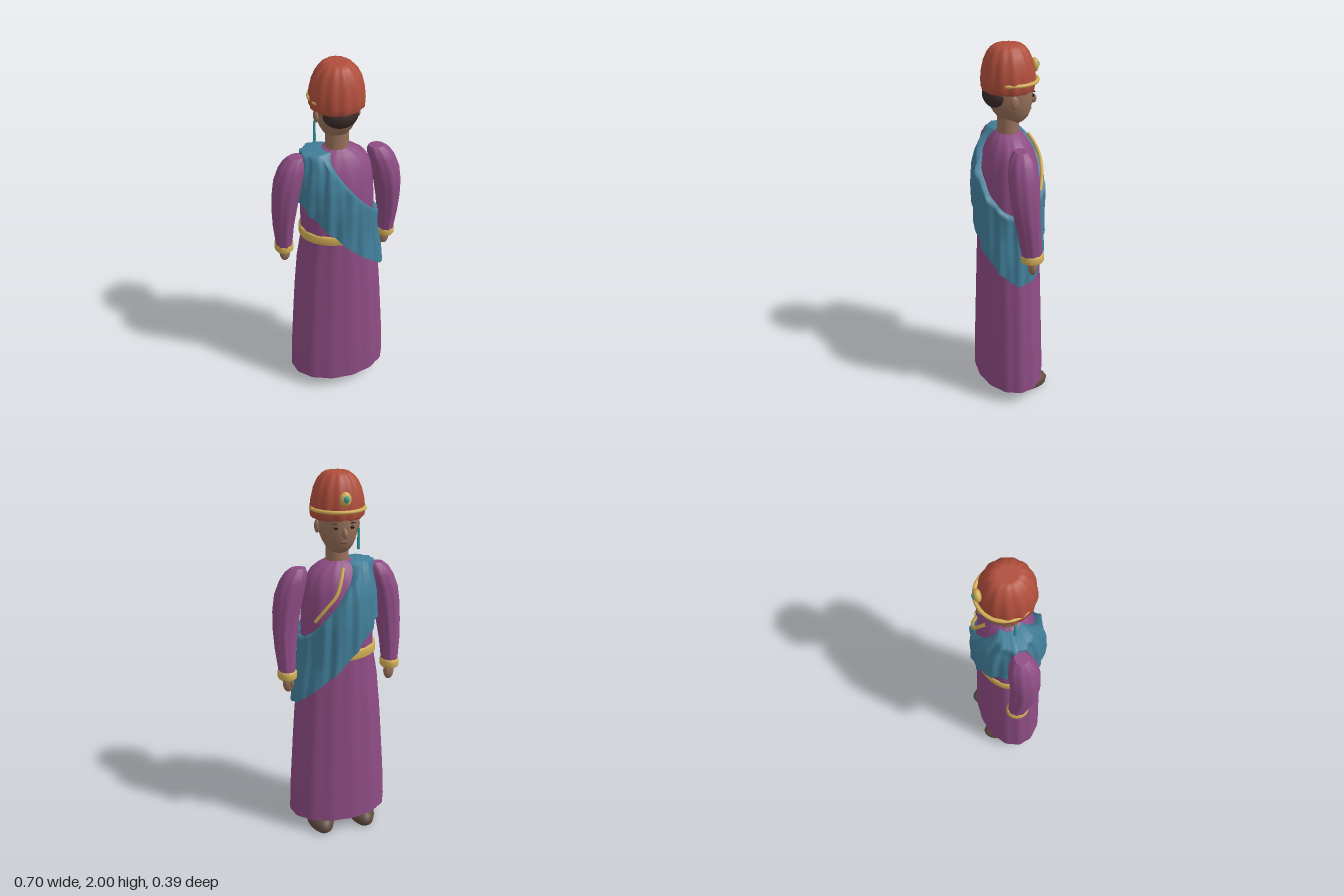
import * as THREE from 'three';

const mat = (name, color, side = THREE.FrontSide) => {
  const m = new THREE.MeshStandardMaterial({ color, side });
  m.name = name;
  return m;
};

// Body profile: [y, half width, half depth]
const ROBE = [
  [0.08, 0.278, 0.187], [0.1, 0.278, 0.187], [0.25, 0.272, 0.184], [0.4, 0.262, 0.179], [0.55, 0.252, 0.174],
  [0.7, 0.241, 0.169], [0.9, 0.222, 0.163], [1.03, 0.2, 0.157], [1.1, 0.195, 0.157], [1.25, 0.195, 0.16],
  [1.38, 0.185, 0.15], [1.46, 0.173, 0.127], [1.51, 0.142, 0.1], [1.54, 0.1, 0.08], [1.56, 0.055, 0.055]];

function robeAt(y) {
  let i = 0;
  while (i < ROBE.length - 2 && y > ROBE[i + 1][0]) i++;
  const a = ROBE[i], b = ROBE[i + 1];
  const t = THREE.MathUtils.clamp((y - a[0]) / (b[0] - a[0]), 0, 1);
  return [a[1] + (b[1] - a[1]) * t, a[2] + (b[2] - a[2]) * t];
}

// Skin a grid of points that wraps around; rows run upward
function skin(rows, n, point, capped) {
  const pos = [], idx = [];
  for (let r = 0; r < rows; r++)
    for (let i = 0; i < n; i++) pos.push(...point(r, (i / n) * Math.PI * 2));
  for (let r = 0; r < rows - 1; r++)
    for (let i = 0; i < n; i++) {
      const a = r * n + i, b = r * n + (i + 1) % n;
      idx.push(a, a + n, b, b, a + n, b + n);
    }
  if (capped)
    for (const r of [0, rows - 1]) {
      const start = pos.length / 3, c = [0, 0, 0];
      for (let i = 0; i < n; i++) {
        const p = pos.slice((r * n + i) * 3, (r * n + i) * 3 + 3);
        pos.push(...p);
        p.forEach((v, k) => { c[k] += v / n; });
      }
      pos.push(...c);
      for (let i = 0; i < n; i++) {
        const a = start + i, b = start + (i + 1) % n;
        idx.push(...(r ? [a, start + n, b] : [a, b, start + n]));
      }
    }
  const g = new THREE.BufferGeometry();
  g.setAttribute('position', new THREE.Float32BufferAttribute(pos, 3));
  g.setIndex(idx);
  g.computeVertexNormals();
  return g;
}

// Loft of ellipses [y, rx, rz, cx, cz] with soft vertical folds
const loft = (rings, folds = 0, depth = 0, n = 72) => skin(rings.length, n, (r, a) => {
  const [y, rx, rz, cx = 0, cz = 0] = rings[r];
  const k = 1 + depth * Math.sin(folds * a + 0.6);
  return [cx + rx * k * Math.cos(a), y, cz + rz * k * Math.sin(a)];
}, true);

export function createModel() {
  const purple = mat('purple cloth', 0x8e4c84), teal = mat('teal cloth', 0x427f9a, THREE.DoubleSide);
  const red = mat('red cloth', 0xb04e3c), gold = mat('gold', 0xd2ae55), skinTone = mat('skin', 0x97705a);
  const brown = mat('shoe brown', 0x5f4b40), hairMat = mat('dark hair', 0x3b2c2a);
  const dark = mat('eye black', 0x1f1818), gem = mat('turquoise', 0x359a9c), lip = mat('lips', 0x7c473d);

  const model = new THREE.Group();
  const add = (name, geo, m, parent = model) => {
    const mesh = new THREE.Mesh(geo, m);
    mesh.name = name;
    parent.add(mesh);
    return mesh;
  };
  const ball = (name, m, x, y, z, rx, ry, rz) => {
    const b = add(name, new THREE.SphereGeometry(1, 28, 20), m);
    b.position.set(x, y, z);
    b.scale.set(rx, ry, rz);
    return b;
  };

  // Robe and belt
  add('robe', loft(ROBE, 14, 0.012, 112), purple);
  add('belt', loft([[1.045, 0.2, 0.158], [1.052, 0.208, 0.168], [1.092, 0.208, 0.168], [1.1, 0.198, 0.158]]), gold);

  // Sash: a slanting band from one shoulder to the opposite hip, tucked in at the top
  const rows = 16;
  add('sash', skin(rows, 144, (r, a) => {
    const c = Math.cos(a), x = 0.24 * c;
    const low = 1.045 - 0.95 * x - 0.04 * Math.max(0, c) ** 6;
    const high = Math.min(1.55, 1.41 - 1.05 * x);
    const t = Math.min(r / (rows - 2), 1), y = low + (high - low) * t;
    const [w, d] = robeAt(y), tuck = r === rows - 1;
    const fold = 0.006 * Math.sin(13 * a + 2 * t) + 0.003 * Math.sin(23 * a);
    const rx = tuck ? w * 0.95 : Math.max(w + 0.02, c < 0 ? 0.185 : 0) + fold;
    const rz = tuck ? d * 0.95 : d + 0.03 + fold;
    return [rx * c, y, rz * Math.sin(a)];
  }, false), teal);

  // Collar trim running down the chest
  const trim = new THREE.CatmullRomCurve3([[0, 1.535, -0.105], [0.02, 1.48, -0.137], [0.05, 1.41, -0.158],
    [0.105, 1.34, -0.15], [0.155, 1.27, -0.125]].map(p => new THREE.Vector3(...p)));
  add('collarTrim', new THREE.TubeGeometry(trim, 32, 0.009, 10), gold);

  // Arms, cuffs, hands and shoes
  for (const [side, s] of [['left', 1], ['right', -1]]) {
    add(side + 'Sleeve', loft([
      [0.96, 0.042, 0.052, 0.287 * s, -0.037], [1.1, 0.055, 0.06, 0.289 * s, -0.02],
      [1.2, 0.064, 0.067, 0.284 * s, -0.006], [1.3, 0.071, 0.075, 0.274 * s, 0.002],
      [1.39, 0.075, 0.078, 0.257 * s, 0.003], [1.46, 0.069, 0.07, 0.236 * s, 0.002],
      [1.5, 0.059, 0.054, 0.22 * s, 0], [1.524, 0.04, 0.033, 0.208 * s, 0]], 9, 0.025), purple);
    add(side + 'Cuff', loft([[0.94, 0.046, 0.054, 0.287 * s, -0.038], [0.948, 0.051, 0.06, 0.287 * s, -0.038],
      [0.976, 0.051, 0.06, 0.287 * s, -0.038], [0.985, 0.044, 0.053, 0.287 * s, -0.037]]), gold);
    ball(side + 'Hand', skinTone, 0.284 * s, 0.908, -0.04, 0.029, 0.05, 0.023);
    ball(side + 'Thumb', skinTone, 0.268 * s, 0.918, -0.058, 0.011, 0.03, 0.011);
    add(side + 'Shoe', loft([[0, 0.058, 0.125, 0.122 * s, -0.052], [0.012, 0.07, 0.138, 0.122 * s, -0.052],
      [0.04, 0.075, 0.143, 0.122 * s, -0.052], [0.065, 0.066, 0.132, 0.122 * s, -0.048],
      [0.085, 0.046, 0.1, 0.122 * s, -0.035], [0.094, 0.02, 0.05, 0.122 * s, -0.02]]), brown);
  }

  // Neck and head, facing -z
  add('neck', loft([[1.52, 0.064, 0.06], [1.57, 0.06, 0.056], [1.7, 0.058, 0.055]]), skinTone);
  add('head', loft([[1.6, 0.035, 0.035, 0, -0.02], [1.613, 0.052, 0.058, 0, -0.024], [1.635, 0.068, 0.078, 0, -0.026],
    [1.665, 0.084, 0.096, 0, -0.02], [1.7, 0.096, 0.108, 0, -0.014], [1.74, 0.102, 0.115, 0, -0.01],
    [1.79, 0.103, 0.116, 0, -0.01], [1.83, 0.098, 0.11, 0, -0.01]]), skinTone);
  ball('hair', hairMat, 0, 1.755, 0.06, 0.088, 0.068, 0.07);
  const nose = ball('nose', skinTone, 0, 1.717, -0.13, 0.014, 0.027, 0.02);
  nose.rotation.x = 0.35;
  ball('mouth', lip, 0, 1.67, -0.115, 0.024, 0.006, 0.006);
  for (const [side, s] of [['left', 1], ['right', -1]]) {
    ball(side + 'Ear', skinTone, 0.105 * s, 1.733, 0, 0.014, 0.034, 0.022);
    ball(side + 'Eye', dark, 0.04 * s, 1.743, -0.116, 0.014, 0.008, 0.006).rotation.y = 0.35 * s;
    ball(side + 'Brow', hairMat, 0.042 * s, 1.766, -0.117, 0.02, 0.004, 0.005).rotation.y = 0.35 * s;
  }

  // Earring
  const drop = add('earring', new THREE.CylinderGeometry(0.006, 0.008, 0.11, 12), gem);
  drop.position.set(-0.115, 1.652, 0);

  // Hat with soft folds, band and brooch
  add('hat', loft([[1.775, 0.125, 0.122], [1.785, 0.135, 0.132], [1.82, 0.138, 0.135], [1.87, 0.132, 0.131],
    [1.92, 0.12, 0.12], [1.96, 0.101, 0.103], [1.985, 0.078, 0.085], [1.997, 0.06, 0.068], [2, 0.045, 0.05]],
  13, 0.022, 104), red);
  const band = add('hatBand', new THREE.TorusGeometry(0.134, 0.0095, 12, 72), gold);
  band.rotation.x = Math.PI / 2;
  band.position.set(0, 1.824, -0.014);
  ball('brooch', gold, 0, 1.885, -0.138, 0.03, 0.036, 0.02);
  ball('broochStone', gem, 0, 1.887, -0.153, 0.014, 0.018, 0.01);

  return model;
}
